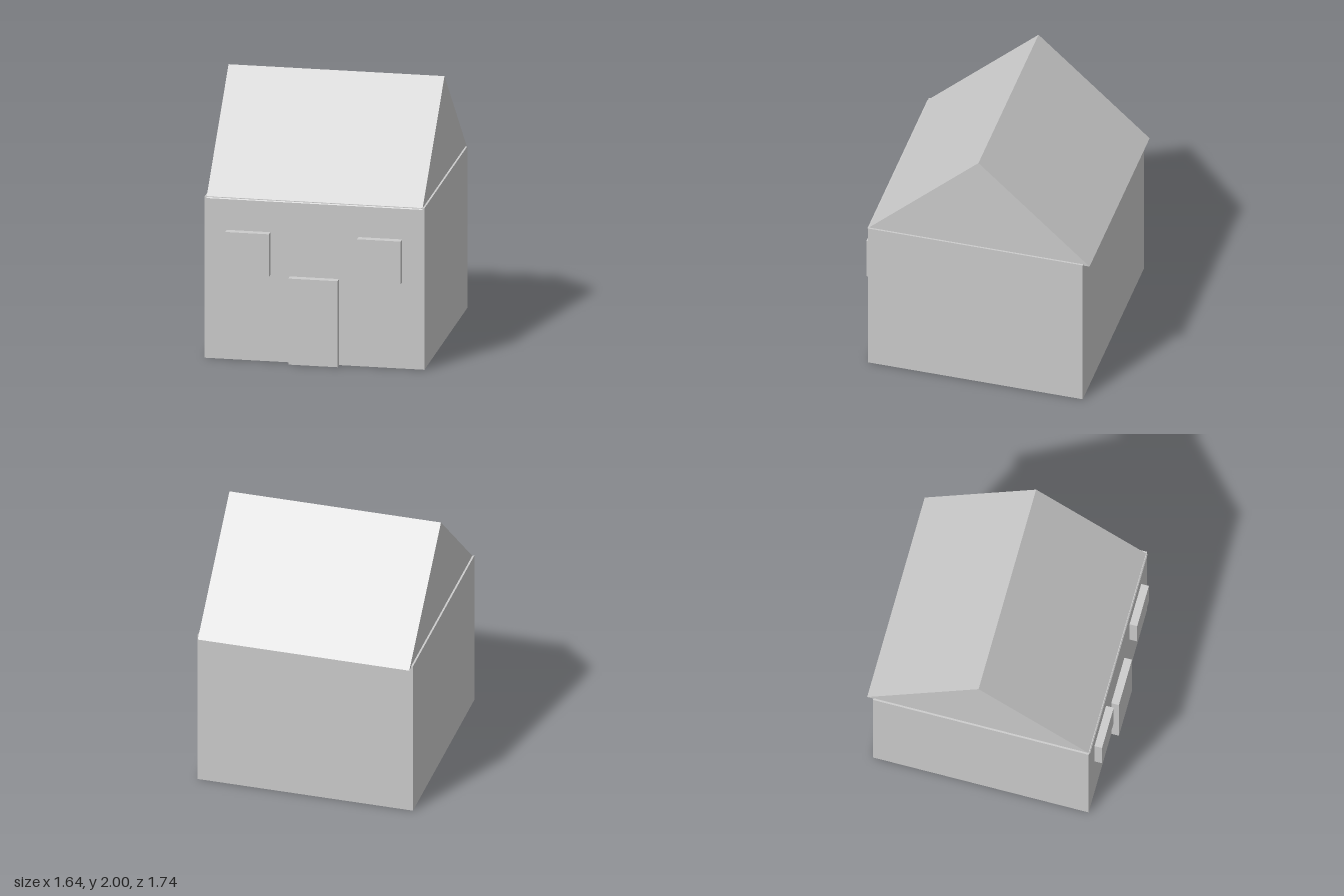
import * as THREE from 'three';

const material = new THREE.MeshStandardMaterial({ color: 0xcccccc, flatShading: true });

// Box given by its extents along each axis
function box(name, [x0, x1], [y0, y1], [z0, z1]) {
  const mesh = new THREE.Mesh(new THREE.BoxGeometry(x1 - x0, y1 - y0, z1 - z0), material);
  mesh.position.set((x0 + x1) / 2, (y0 + y1) / 2, (z0 + z1) / 2);
  mesh.name = name;
  return mesh;
}

export function createModel() {
  const house = new THREE.Group();
  house.name = 'house';

  // Walls
  house.add(box('walls', [-0.82, 0.82], [0, 1.233], [-0.822, 0.815]));

  // Door and windows, standing proud of the front wall
  const depth = [0.8, 0.873];
  house.add(box('door', [-0.185, 0.182], [0, 0.657], depth));
  house.add(box('rightWindow', [-0.656, -0.33], [0.66, 0.986], depth));
  house.add(box('leftWindow', [0.328, 0.654], [0.66, 0.986], depth));

  // Gable roof: triangular section in z and y, extruded along x
  const gable = new THREE.Shape([
    new THREE.Vector2(-0.822, 1.222),
    new THREE.Vector2(0.87, 1.222),
    new THREE.Vector2(0.024, 2),
  ]);
  const length = 1.612;
  const geometry = new THREE.ExtrudeGeometry(gable, { depth: length, bevelEnabled: false });
  geometry.translate(0, 0, -length / 2).rotateY(Math.PI / 2);
  const roof = new THREE.Mesh(geometry, material);
  roof.name = 'roof';
  house.add(roof);

  return house;
}
